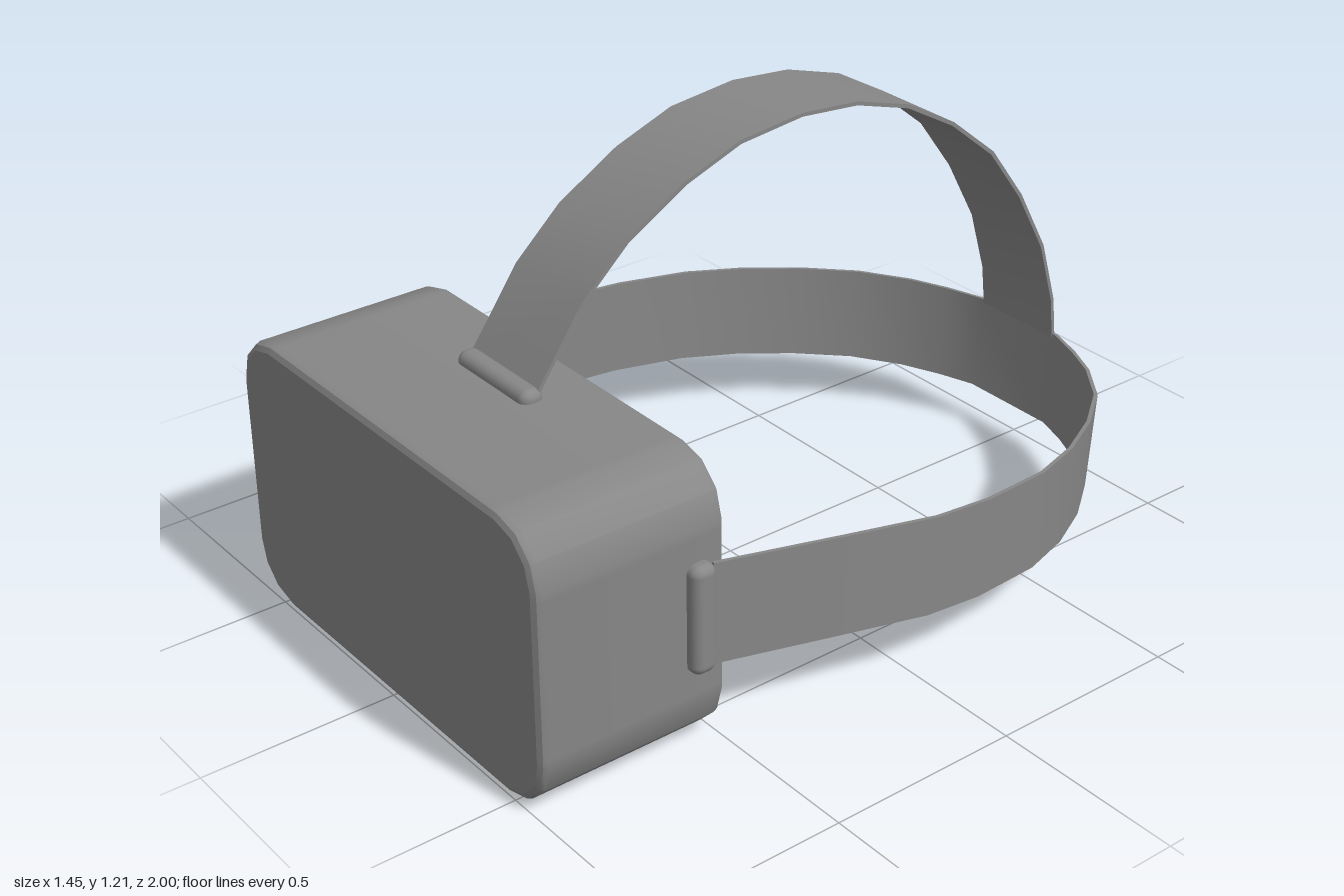
import * as THREE from 'three';
import { toCreasedNormals } from 'three/addons/utils/BufferGeometryUtils.js';
import { RoundedBoxGeometry } from 'three/addons/geometries/RoundedBoxGeometry.js';

const material = new THREE.MeshStandardMaterial({ color: 0x878787 });
const CENTRE_Y = 0.36;

function add(parent, name, geometry, x = 0, y = 0, z = 0) {
  const mesh = new THREE.Mesh(geometry, material);
  mesh.name = name;
  mesh.position.set(x, y, z);
  parent.add(mesh);
  return mesh;
}

// Rounded rectangle outline of the housing, pulled in by an inset
function outline(inset) {
  const hw = 0.609 - inset, hh = CENTRE_Y - inset, r = 0.14 - inset;
  const points = [];
  for (let c = 0; c < 4; c++) {
    const cx = (c === 0 || c === 3 ? 1 : -1) * (hw - r);
    const cy = (c < 2 ? 1 : -1) * (hh - r);
    for (let k = -1; k <= 4; k++) {
      const a = (c + Math.min(Math.max(k, 0), 3) / 3) * Math.PI / 2;
      const run = k < 0 ? -0.02 : k > 3 ? 0.02 : 0; // keeps the flat sides flat
      points.push(new THREE.Vector2(
        cx + r * Math.cos(a) - run * Math.sin(a),
        cy + r * Math.sin(a) + run * Math.cos(a)));
    }
  }
  return points;
}

// Skin through outlines given as [inset, z]
function loft(rings) {
  const positions = [], index = [];
  let n = 0;
  rings.forEach(([inset, z], i) => {
    const points = outline(inset);
    n = points.length;
    points.forEach((p, j) => {
      positions.push(p.x, p.y, z);
      if (i === rings.length - 1) return;
      const a = i * n + j, b = i * n + (j + 1) % n;
      index.push(a, a + n, b, b, a + n, b + n);
    });
  });
  const geometry = new THREE.BufferGeometry();
  geometry.setAttribute('position', new THREE.Float32BufferAttribute(positions, 3));
  geometry.setIndex(index);
  return toCreasedNormals(geometry, 0.6);
}

// Thin strip following a path, extruded to the given width and centred on it
function ribbon(path, width, thickness = 0.01) {
  const pts = path.map(([x, y]) => new THREE.Vector2(x, y));
  const inner = pts.map((p, i) => {
    const t = pts[Math.min(i + 1, pts.length - 1)].clone()
      .sub(pts[Math.max(i - 1, 0)]).normalize();
    return new THREE.Vector2(p.x - t.y * thickness, p.y + t.x * thickness);
  });
  const shape = new THREE.Shape([...pts, ...inner.reverse()]);
  const geometry = new THREE.ExtrudeGeometry(shape, { depth: width, bevelEnabled: false });
  geometry.translate(0, 0, -width / 2);
  return toCreasedNormals(geometry, 0.6);
}

// Mirrors a half path that starts on x = 0 into a full loop
const mirror = (half) => [
  ...half,
  ...half.filter(([x]) => x > 0.001).reverse().map(([x, y]) => [-x, y]),
];

export function createModel() {
  const model = new THREE.Group();
  model.name = 'headset';

  // Housing with rounded edges and a recess at the back
  const housing = new THREE.Group();
  housing.name = 'housing';
  housing.position.y = CENTRE_Y;
  model.add(housing);
  add(housing, 'shell', loft([
    [0.018, 1], [0.005, 0.993], [0, 0.98],
    [0, 0.52], [0.005, 0.507], [0.018, 0.5],
    [0.035, 0.5], [0.035, 0.6],
  ]));
  add(housing, 'frontPanel', new THREE.ShapeGeometry(new THREE.Shape(outline(0.018))), 0, 0, 1);
  add(housing, 'lensPlate', new THREE.ShapeGeometry(new THREE.Shape(outline(0.035))), 0, 0, 0.6)
    .rotation.y = Math.PI;

  // Lens barrels with a hollow dish, open towards the back
  const barrel = [[0.165, 0], [0.165, 0.117], [0.162, 0.12], [0.15, 0.12]];
  for (let i = 1; i <= 8; i++) {
    const a = (i / 8) * Math.PI / 2;
    barrel.push([0.15 * Math.cos(a), 0.12 - 0.08 * Math.sin(a)]);
  }
  const lens = toCreasedNormals(
    new THREE.LatheGeometry(barrel.map(([r, y]) => new THREE.Vector2(Math.max(r, 0), y)), 28), 0.6);
  lens.rotateX(-Math.PI / 2);
  for (const side of [1, -1]) {
    add(model, side > 0 ? 'leftLens' : 'rightLens', lens, side * 0.28, 0.412, 0.6);
  }

  // Face cushion: a padded loop that rises over the nose
  const cushion = mirror([
    [0, 0.625], [0.2, 0.625], [0.42, 0.625], [0.49, 0.605], [0.515, 0.54], [0.515, 0.36],
    [0.515, 0.18], [0.49, 0.115], [0.42, 0.095], [0.32, 0.105], [0.24, 0.155], [0.15, 0.235],
    [0.08, 0.265], [0, 0.272],
  ]).map(([x, y]) => new THREE.Vector3(x, y, 0.548));
  add(model, 'faceCushion',
    new THREE.TubeGeometry(new THREE.CatmullRomCurve3(cushion, true), 96, 0.047, 10, true));

  // Strap clips on the sides and the top
  const sideClip = new RoundedBoxGeometry(0.06, 0.28, 0.066, 3, 0.024);
  add(model, 'leftClip', sideClip, 0.612, 0.36, 0.575);
  add(model, 'rightClip', sideClip, -0.612, 0.36, 0.575);
  add(model, 'topClip', new RoundedBoxGeometry(0.28, 0.06, 0.06, 3, 0.024), 0, 0.718, 0.668);

  // Band around the head, sloping down to the back
  const half = [
    [0.14, -0.994], [0.24, -0.957], [0.34, -0.907], [0.458, -0.815], [0.558, -0.685],
    [0.638, -0.54], [0.693, -0.388], [0.723, -0.18], [0.723, -0.02], [0.68, 0.22],
    [0.618, 0.55],
  ].map(([x, z]) => [x, 0.5 - z]);
  const bandPath = [
    ...half.slice().reverse(),
    ...half.map(([x, y]) => [-x, y]),
  ];
  const band = ribbon(bandPath, 0.258);
  band.rotateX(-Math.PI / 2);
  add(model, 'headBand', band, 0, 0.353, 0.5).rotation.x = -0.087;

  // Strap over the top of the head
  const strap = ribbon([
    [0.665, 0.725], [0.525, 0.922], [0.4, 1.037], [0.235, 1.133], [0.075, 1.192],
    [-0.11, 1.212], [-0.28, 1.197], [-0.445, 1.147], [-0.595, 1.062], [-0.735, 0.947],
    [-0.843, 0.8], [-0.935, 0.63], [-0.985, 0.46], [-0.998, 0.345],
  ], 0.26);
  strap.rotateY(-Math.PI / 2);
  add(model, 'topStrap', strap);

  return model;
}
